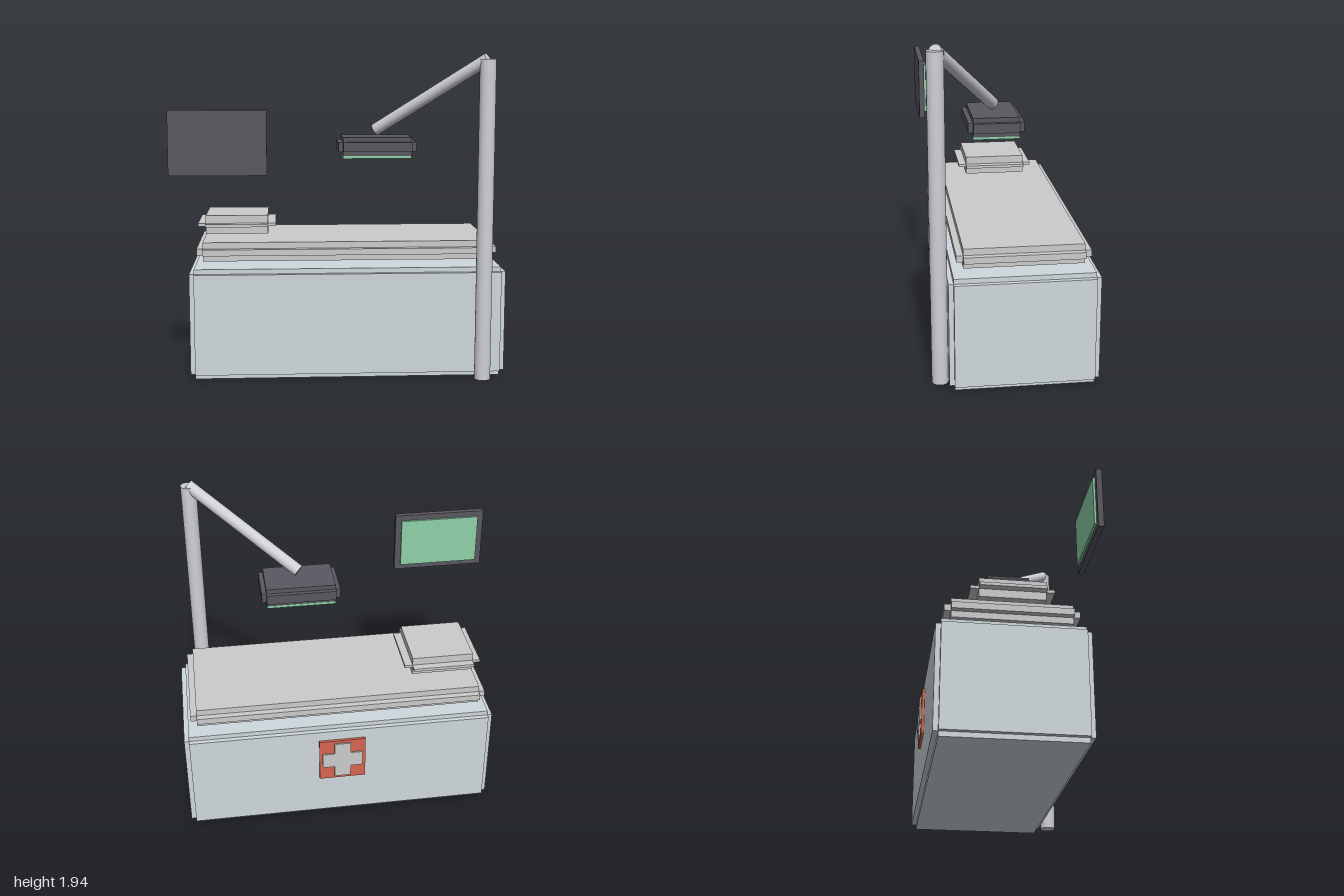
import * as THREE from 'three';

const mat = (color) => new THREE.MeshStandardMaterial({ color });
const grey = mat(0xcccccc);
const cabinet = mat(0xcfd8dc);
const metal = mat(0xd0d0d8);
const dark = mat(0x5a5860);
const green = mat(0x8fd0a8);
const red = mat(0xd96550);

// Box given by its centre and size
function box(name, center, size, material) {
  const mesh = new THREE.Mesh(new THREE.BoxGeometry(...size), material);
  mesh.position.set(...center);
  mesh.name = name;
  return mesh;
}

// Block with stepped edges: three crossed boxes, each full length along one axis
function steppedBlock(name, center, size, step, material) {
  const group = new THREE.Group();
  group.name = name;
  for (let axis = 0; axis < 3; axis++) {
    const s = size.map((v, i) => (i === axis ? v : v - 2 * step));
    group.add(box(name + 'Core' + 'XYZ'[axis], center, s, material));
  }
  return group;
}

// Cylinder running between two points
function rod(name, from, to, radius, material) {
  const a = new THREE.Vector3(...from), b = new THREE.Vector3(...to);
  const dir = b.clone().sub(a);
  const mesh = new THREE.Mesh(new THREE.CylinderGeometry(radius, radius, dir.length(), 24), material);
  mesh.position.copy(a).add(b).multiplyScalar(0.5);
  mesh.quaternion.setFromUnitVectors(new THREE.Vector3(0, 1, 0), dir.normalize());
  mesh.name = name;
  return mesh;
}

export function createModel() {
  const model = new THREE.Group();
  model.name = 'medicalBed';

  // Bed: base cabinet, mattress and pillow
  model.add(
    steppedBlock('base', [0.05, 0.335, -0.035], [1.9, 0.67, 0.856], 0.029, cabinet),
    steppedBlock('mattress', [0.047, 0.765, -0.036], [1.81, 0.114, 0.758], 0.038, grey),
    steppedBlock('pillow', [-0.62, 0.907, -0.034], [0.476, 0.114, 0.476], 0.048, grey),
  );

  // Lamp on a post with a slanted arm
  model.add(
    rod('post', [0.855, 0, 0.438], [0.855, 1.91, 0.438], 0.048, metal),
    rod('lampArm', [0.855, 1.91, 0.438], [0.235, 1.48, 0.06], 0.037, metal),
    steppedBlock('lampHead', [0.236, 1.383, 0.061], [0.474, 0.114, 0.328], 0.028, dark),
    box('lampPanel', [0.236, 1.32, 0.061], [0.416, 0.016, 0.275], green),
  );

  // Monitor whose screen faces the bed
  model.add(
    box('monitorCase', [-0.715, 1.43, 0.441], [0.57, 0.38, 0.034], dark),
    box('monitorScreen', [-0.715, 1.43, 0.418], [0.495, 0.31, 0.014], green),
  );

  // Red plate with a cross on the back of the base
  const sign = new THREE.Group();
  sign.name = 'crossSign';
  sign.add(
    box('signPlate', [0.045, 0.435, -0.47], [0.285, 0.285, 0.018], red),
    box('crossBarHorizontal', [0.045, 0.435, -0.481], [0.248, 0.1, 0.014], grey),
    box('crossBarVertical', [0.045, 0.435, -0.481], [0.1, 0.248, 0.014], grey),
  );
  model.add(sign);
  return model;
}
